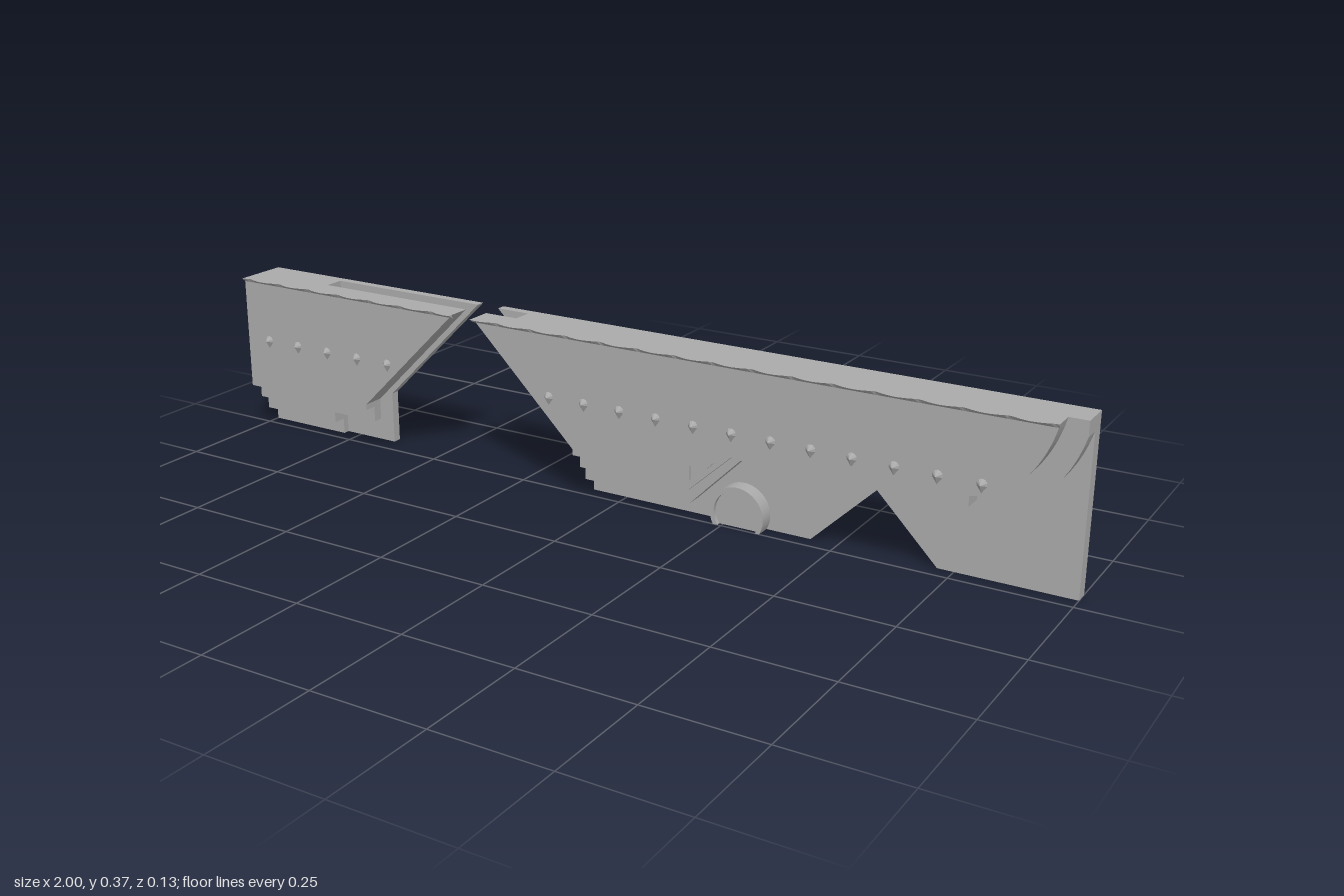
import * as THREE from 'three';

const TOP = 0.372;
const grey = new THREE.MeshStandardMaterial({ color: 0xaaaaaa });
grey.name = 'stone grey';

// Flat slab: outline in x/y, extruded between two depths
function slab(group, name, pts, z0, z1) {
  const shape = new THREE.Shape(pts.map(([x, y]) => new THREE.Vector2(x, y)));
  const g = new THREE.ExtrudeGeometry(shape, { depth: z1 - z0, bevelEnabled: false });
  g.translate(0, 0, z0);
  add(group, name, g);
}

function add(group, name, geometry) {
  const mesh = new THREE.Mesh(geometry, grey);
  mesh.name = name;
  group.add(mesh);
  return mesh;
}

// Swept curve at the end of a layer
function arc(a, c, b) {
  return new THREE.QuadraticBezierCurve(new THREE.Vector2(...a), new THREE.Vector2(...c), new THREE.Vector2(...b))
    .getPoints(14).map(p => [p.x, p.y]);
}

// Short end, cut off by a slope, with its lower edge at height y
const shortOutline = y => [[-1, y], [-0.65, y], [-0.65, 0.12], [-0.395, TOP], [-1, TOP]];
// Slope of the long end, down to a lower edge at height y
const slope = y => [[-0.34, TOP], [-0.085, 0.12], [-0.085, y]];
const slotSlope = y => [[-0.26, TOP], [-0.26, 0.293], [-0.085, 0.12], [-0.085, y]];

// Cornice with a wavy front edge that tapers back into the wall
function cornice(group, x0, x1, phase) {
  const period = 0.088, s = new THREE.Shape();
  s.moveTo(x0, -0.05);
  const n = Math.round((x1 - x0) / 0.008);
  for (let i = 0; i <= n; i++) {
    const x = x0 + (x1 - x0) * i / n;
    s.lineTo(x, -0.053 - 0.011 * Math.abs(Math.cos(Math.PI * (x - phase) / period)));
  }
  s.lineTo(x1, -0.05);
  const g = new THREE.ExtrudeGeometry(s, { depth: 0.008, bevelEnabled: false });
  g.rotateX(-Math.PI / 2);
  g.translate(0, TOP - 0.008, 0);
  const p = g.attributes.position;
  for (let i = 0; i < p.count; i++) if (p.getY(i) < TOP - 0.004) p.setZ(i, 0.05);
  g.computeVertexNormals();
  add(group, 'scallopedCornice', g);
}

// Small pointed stud with a tail below
function stud(group, x) {
  const g = new THREE.ConeGeometry(0.012, 0.013, 10, 1, true).toNonIndexed();
  g.rotateX(Math.PI / 2);
  const p = g.attributes.position;
  for (let i = 0; i < p.count; i++) {
    const y = p.getY(i);
    if (y < -0.011) p.setY(i, -0.02);
  }
  g.computeVertexNormals();
  add(group, 'stud', g).position.set(x, 0.228, 0.0555);
}

export function createModel() {
  const model = new THREE.Group();
  model.name = 'steppedWall';

  // Short section: back plate, stepped layers, open slot behind the front
  const left = new THREE.Group();
  left.name = 'shortSection';
  model.add(left);
  const block = y => [[-1, y], [-0.79, y], [-0.79, TOP], [-1, TOP]];
  slab(left, 'backPlate', shortOutline(0), -0.065, -0.045);
  slab(left, 'footBlock', block(0), -0.045, -0.03);
  slab(left, 'lowerStep', block(0.036), -0.03, 0);
  slab(left, 'middleStep', shortOutline(0.071), 0, 0.022);
  slab(left, 'frontWall', shortOutline(0.107), 0.022, 0.05);

  // Long section: back plate with a triangular notch in its foot
  const right = new THREE.Group();
  right.name = 'longSection';
  model.add(right);
  const foot = [[0.44, 0], [0.58, 0.137], [0.715, 0], [1, 0], [1, TOP]];
  slab(right, 'backPlate', [...slope(0), ...foot], -0.065, -0.045);
  slab(right, 'footPlate', [...slotSlope(0), ...foot], -0.045, -0.034);

  // Layers that step up a ramp, run level and sweep up at the end
  const outer = [[0.295, 0.155], ...arc([0.77, 0.155], [0.95, 0.165], [1, 0.34]), [1, TOP]];
  const inner = [[0.295, 0.177], [0.8, 0.177], [0.8, 0.2],
    ...arc([0.85, 0.208], [0.935, 0.265], [0.96, TOP])];
  slab(right, 'lowerStep', [...slotSlope(0.036), [0.176, 0.036], ...outer], -0.034, 0);
  slab(right, 'sweptLedge', [...slope(0.071), [0.211, 0.071], ...outer], 0, 0.005);
  slab(right, 'middleStep', [...slope(0.071), [0.18, 0.071], ...inner], 0.005, 0.022);
  slab(right, 'upperStep', [...slope(0.107), [0.2, 0.107], ...inner], 0.022, 0.042);
  slab(right, 'frontWall',
    [...slope(0.107), [0.2, 0.107], [0.2, 0.14], [0.24, 0.14], [0.255, 0.155], ...inner], 0.042, 0.05);

  // Round arch at the foot, a raised rim around a shallow disc
  const cx = 0.285, cy = 0.03;
  const ring = (r, n = 40) => {
    const a0 = -Math.asin(cy / r), span = Math.PI - 2 * a0;
    return Array.from({ length: n + 1 }, (_, i) => {
      const a = a0 + span * i / n;
      return [cx + r * Math.cos(a), cy + r * Math.sin(a)];
    });
  };
  slab(right, 'archRim', [...ring(0.062), ...ring(0.053).reverse()], -0.034, 0);
  slab(right, 'archDisc', ring(0.053), -0.034, -0.01);

  // Trim along both fronts
  cornice(left, -1, -0.395, -0.936);
  cornice(right, -0.34, 0.96, -0.145);
  for (let i = 0; i < 5; i++) stud(left, -0.936 + i * 0.088);
  for (let i = 0; i < 12; i++) stud(right, -0.145 + i * 0.088);
  return model;
}
